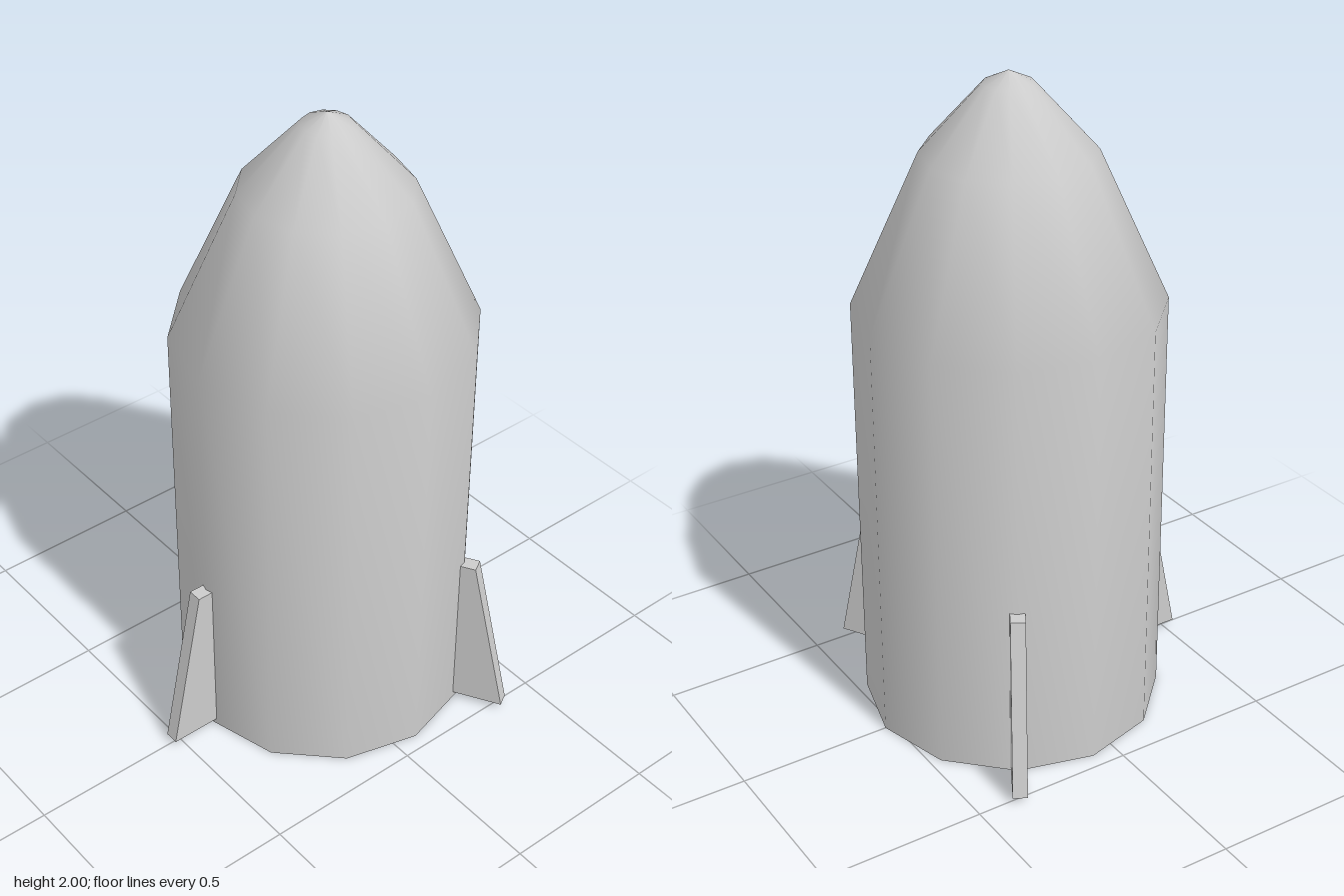
import * as THREE from 'three';

const SIDES = 12;

export function createModel() {
  const group = new THREE.Group();
  group.position.z = -0.075;
  const material = new THREE.MeshStandardMaterial({ color: 0xcccccc });

  const lathe = (name, profile) => {
    const points = profile.map(([r, y]) => new THREE.Vector2(r, y));
    const mesh = new THREE.Mesh(new THREE.LatheGeometry(points, SIDES), material);
    mesh.name = name;
    group.add(mesh);
  };

  // Hull and nose in one smooth skin
  lathe('hull', [[0.453, 0], [0.453, 1.315], [0.25, 1.77], [0.073, 1.965], [0, 2]]);

  // Recessed underside: one lathe per band keeps its edges sharp
  const base = [[0, 0.26], [0.185, 0.26], [0.177, 0.09], [0.35, 0.09], [0.4, 0], [0.453, 0]];
  const bands = ['nozzleCeiling', 'nozzleWall', 'basePlate', 'baseWall', 'baseRim'];
  bands.forEach((name, i) => lathe(name, [base[i], base[i + 1]]));

  // Three tapered fins, profile drawn as radius against height
  const thickness = 0.044;
  const outline = new THREE.Shape([[0.43, 0.02], [0.605, 0.02], [0.495, 0.55], [0.43, 0.55]]
    .map(([r, y]) => new THREE.Vector2(r, y)));
  const finGeometry = new THREE.ExtrudeGeometry(outline, { depth: thickness, bevelEnabled: false });
  finGeometry.translate(0, 0, -thickness / 2);
  ['frontFin', 'leftFin', 'rightFin'].forEach((name, i) => {
    const fin = new THREE.Mesh(finGeometry, material);
    fin.name = name;
    fin.rotation.y = -Math.PI / 2 + i * Math.PI * 2 / 3;
    group.add(fin);
  });

  const model = new THREE.Group();
  model.name = 'rocket';
  model.add(group);
  return model;
}
